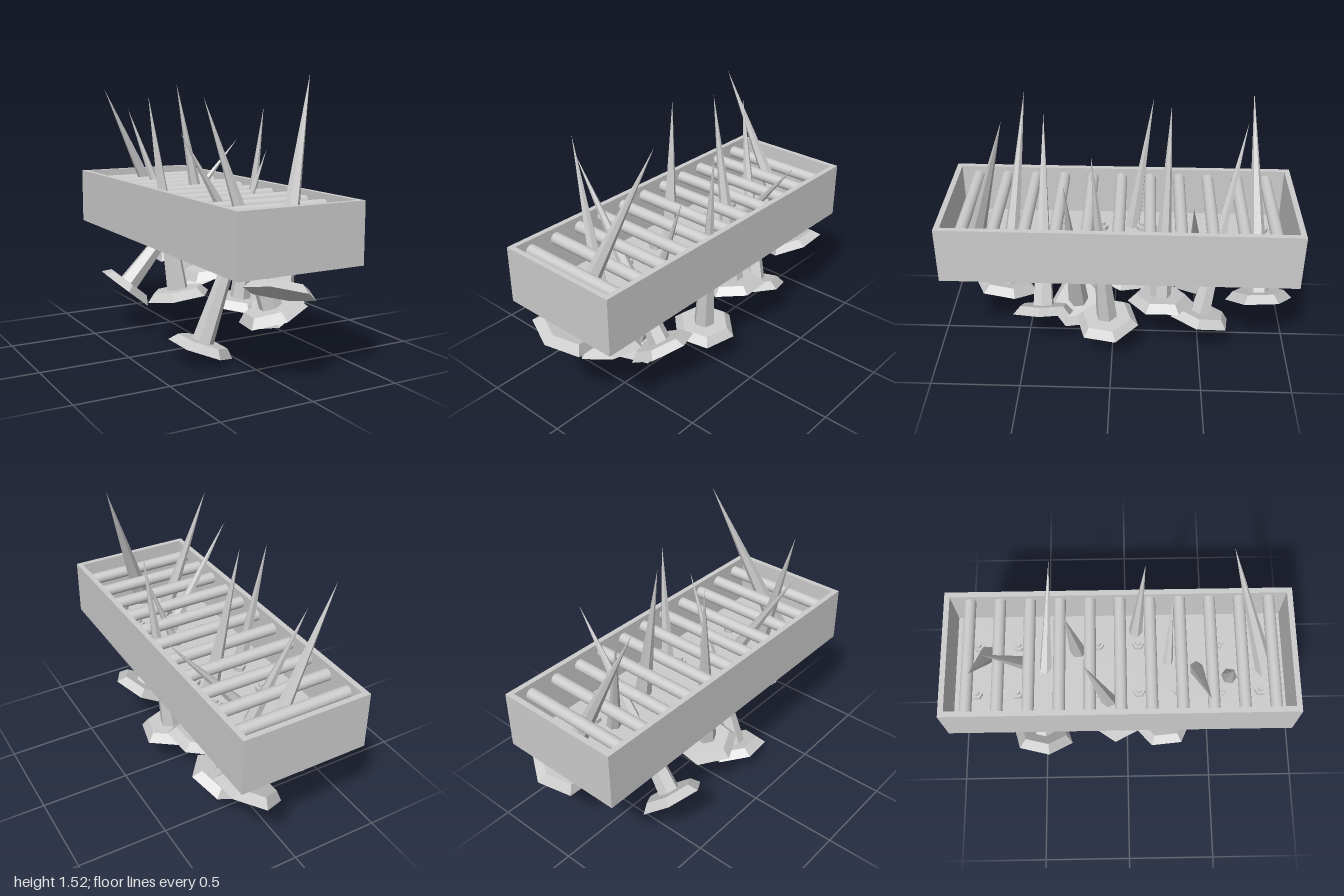
import * as THREE from 'three';

const flat = new THREE.MeshStandardMaterial({ color: 0xcccccc, flatShading: true });
const smooth = new THREE.MeshStandardMaterial({ color: 0xcccccc });

function add(parent, name, geometry, material, x = 0, y = 0, z = 0) {
  const mesh = new THREE.Mesh(geometry, material);
  mesh.name = name;
  mesh.position.set(x, y, z);
  parent.add(mesh);
  return mesh;
}

function rect(T, x0, z0, x1, z1) {
  const p = new T();
  p.moveTo(x0, z0);
  p.lineTo(x1, z0);
  p.lineTo(x1, z1);
  p.lineTo(x0, z1);
  p.closePath();
  return p;
}

// Open tray: a rectangular wall ring with a floor
function createTray() {
  const tray = new THREE.Group();
  tray.name = 'tray';
  const ring = rect(THREE.Shape, -0.37, -0.92, 0.345, 1.0);
  ring.holes.push(rect(THREE.Path, -0.34, -0.89, 0.315, 0.97));
  const walls = new THREE.ExtrudeGeometry(ring, { depth: 0.32, bevelEnabled: false });
  walls.rotateX(-Math.PI / 2);
  add(tray, 'trayWalls', walls, flat, 0, 0.6, 0);
  add(tray, 'trayFloor', new THREE.BoxGeometry(0.665, 0.03, 1.87), flat, -0.0125, 0.615, -0.04);
  return tray;
}

// Hexagonal nail: bevelled head below, long tapering shaft up to the tip
function createSpike(head, tip, turn) {
  const spike = new THREE.Group();
  spike.name = 'spike';
  const from = new THREE.Vector3(...head);
  const axis = new THREE.Vector3(...tip).sub(from);
  const length = axis.length();
  const headGeo = new THREE.CylinderGeometry(0.14, 0.183, 0.045, 6);
  const shaftGeo = new THREE.ConeGeometry(0.062, length, 6);
  headGeo.rotateY(turn);
  shaftGeo.rotateY(turn);
  add(spike, 'spikeHead', headGeo, flat);
  add(spike, 'spikeShaft', shaftGeo, flat, 0, length / 2, 0);
  spike.position.copy(from);
  spike.quaternion.setFromUnitVectors(new THREE.Vector3(0, 1, 0), axis.normalize());
  return spike;
}

// Floor bolt: hex nut with a protruding threaded end
function createBolt(x, z) {
  const bolt = new THREE.Group();
  bolt.name = 'floorBolt';
  add(bolt, 'nut', new THREE.CylinderGeometry(0.034, 0.034, 0.025, 6), flat, 0, 0.0125, 0);
  add(bolt, 'boltEnd', new THREE.CylinderGeometry(0.016, 0.016, 0.045, 12), smooth, 0, 0.0225, 0);
  bolt.position.set(x, 0.63, z);
  return bolt;
}

export function createModel() {
  const model = new THREE.Group();
  model.name = 'spikedRollerTray';
  model.add(createTray());

  // Row of rollers across the tray
  const rollerGeo = new THREE.CylinderGeometry(0.033, 0.033, 0.66, 24);
  rollerGeo.rotateZ(Math.PI / 2);
  for (let i = 0; i < 11; i++) {
    add(model, 'roller', rollerGeo, smooth, -0.0125, 0.86, -0.865 + i * 0.166);
  }

  // Two rows of bolts on the floor
  for (let i = 0; i < 8; i++) {
    for (const x of [-0.155, 0.13]) model.add(createBolt(x, -0.845 + i * 0.228));
  }

  // Spikes, back to front: head centre, then tip
  const spikes = [
    [[0.18, 0.43, -0.81], [-0.31, 1.43, -0.75]],
    [[0.14, 0.25, -0.5], [-0.17, 1.31, -0.72]],
    [[-0.29, 0.27, -0.5], [0.42, 1.13, -0.41]],
    [[0.15, 0.37, -0.27], [-0.05, 1.465, -0.3]],
    [[-0.17, 0.31, -0.06], [-0.27, 1.4, -0.21]],
    [[0.18, 0.24, 0.03], [0.285, 1.34, 0.1]],
    [[-0.17, 0.083, 0.22], [0.21, 1.12, 0.25]],
    [[0.18, 0.295, 0.39], [-0.39, 1.24, 0.41]],
    [[0.02, 0.345, 0.61], [-0.31, 1.41, 0.5]],
    [[-0.07, 0.51, 0.82], [0.285, 1.52, 0.53]],
  ];
  spikes.forEach(([head, tip], i) => model.add(createSpike(head, tip, i * 0.37)));
  return model;
}
